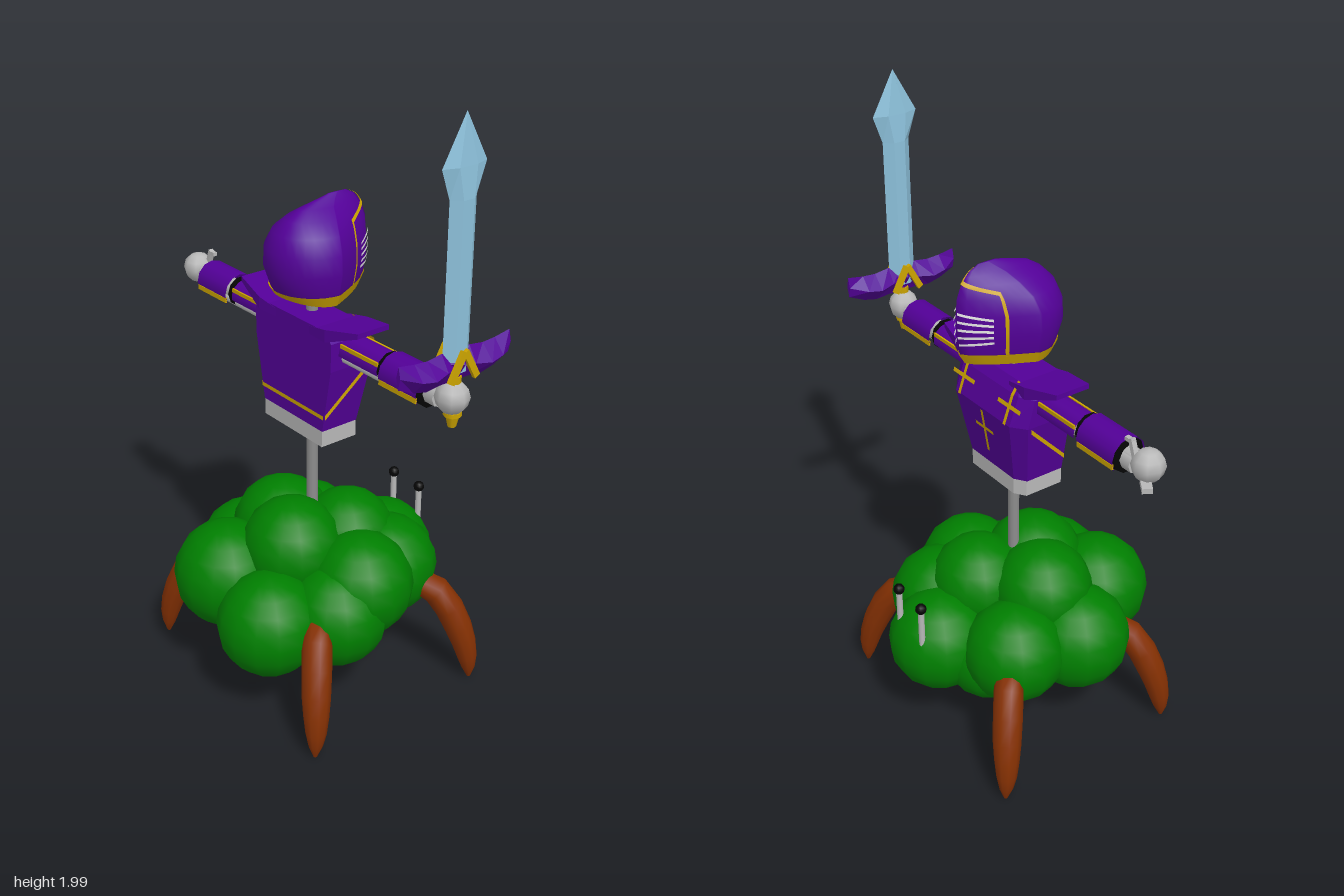
import * as THREE from 'three';

const mat = (name, color, double) => {
  const m = new THREE.MeshStandardMaterial({ color });
  m.name = name;
  if (double) m.side = THREE.DoubleSide;
  return m;
};
const V = (x, y, z) => new THREE.Vector3(x, y, z);

// Capped skin over a list of equal-length rings; faces always end up pointing outward.
function loft(rings, smooth = false) {
  const n = rings[0].length, pos = [], idx = [];
  rings.forEach(r => r.forEach(p => pos.push(p.x, p.y, p.z)));
  for (let i = 0; i < rings.length - 1; i++) for (let j = 0; j < n; j++) {
    const a = i * n + j, b = i * n + (j + 1) % n;
    idx.push(a, b, b + n, a, b + n, a + n);
  }
  const end = (rings.length - 1) * n;
  for (let j = 1; j < n - 1; j++) idx.push(0, j + 1, j, end, end + j, end + j + 1);
  const at = i => V(pos[i * 3], pos[i * 3 + 1], pos[i * 3 + 2]).sub(rings[0][0]);
  let vol = 0;
  for (let i = 0; i < idx.length; i += 3) vol += at(idx[i]).dot(at(idx[i + 1]).cross(at(idx[i + 2])));
  if (vol < 0) idx.reverse();
  let g = new THREE.BufferGeometry();
  g.setAttribute('position', new THREE.Float32BufferAttribute(pos, 3));
  g.setIndex(idx);
  if (!smooth) g = g.toNonIndexed();
  g.computeVertexNormals();
  return g;
}

// Grid surface from f(u, v), u and v in 0..1
function patch(f, nu, nv) {
  const g = new THREE.PlaneGeometry(1, 1, nu, nv), p = g.attributes.position;
  for (let i = 0; i < p.count; i++) {
    const q = f(p.getX(i) + 0.5, p.getY(i) + 0.5);
    p.setXYZ(i, q.x, q.y, q.z);
  }
  g.computeVertexNormals();
  return g;
}

// Helmet sections: y, half width, middle z, back z, pointed visor z
const HELM = [
  [1.34, .12, 0, .113, -.182], [1.36, .128, 0, .126, -.194], [1.42, .14, 0, .147, -.204], [1.48, .138, 0, .144, -.204],
  [1.53, .113, -.01, .124, -.199], [1.565, .074, -.03, .09, -.186], [1.59, .036, -.05, .05, -.169],
  [1.605, .016, -.07, .0, -.154], [1.62, .003, -.09, -.06, -.124]];
function helmPoint(y, a, off = 0) {
  let i = 0;
  while (i < HELM.length - 2 && y > HELM[i + 1][0]) i++;
  const t = (y - HELM[i][0]) / (HELM[i + 1][0] - HELM[i][0]);
  const [, w, c, b, f] = HELM[i].map((v, k) => THREE.MathUtils.lerp(v, HELM[i + 1][k], t));
  const u = Math.abs(Math.sin(a)), co = Math.cos(a);
  const z = co > 0 ? c + (f - off - c) * (1 - u ** 1.4) : c - (b + off - c) * co;
  return V((w + off) * Math.sin(a), y, z);
}

export function createModel() {
  const model = new THREE.Group();
  model.name = 'bushKnight';
  const root = new THREE.Group();
  root.name = 'figure';
  root.position.set(.006, 0, .004);
  model.add(root);
  const green = mat('leafGreen', 0x007f00), brown = mat('rootBrown', 0x843002);
  const purple = mat('armourPurple', 0x530098, true), gold = mat('trimGold', 0xcca400, true);
  const grey = mat('steelGrey', 0xb8b8b8), pole = mat('poleGrey', 0x8c8c8c);
  const black = mat('black', 0x050505), white = mat('visorWhite', 0xf4f4f4, true), blue = mat('bladeBlue', 0x8cc0da);
  const add = (parent, name, geo, material, x = 0, y = 0, z = 0) => {
    const m = new THREE.Mesh(geo, material);
    m.name = name;
    m.position.set(x, y, z);
    parent.add(m);
    return m;
  };
  const group = (name) => { const g = new THREE.Group(); g.name = name; root.add(g); return g; };
  const ball = (r, w = 14, h = 10) => new THREE.SphereGeometry(r, w, h);
  const rod = (r, len, n = 10) => new THREE.CylinderGeometry(r, r, len, n);
  const box = (x, y, z) => new THREE.BoxGeometry(x, y, z);
  const strip = (parent, name, a, b, w) => add(parent, name,
    patch((u, v) => a.clone().lerp(b, u).addScaledVector(w, v - 0.5), 1, 1), gold);

  // Bush of overlapping leaf balls: x, y, z, radius
  const bush = group('bush');
  [[.02, .34, -.28, .167], [.16, .385, -.18, .165], [-.195, .36, -.14, .165], [.22, .405, -.02, .17],
    [.225, .335, .08, .165], [-.105, .39, .26, .175], [.13, .328, .268, .168], [-.235, .345, .08, .173],
    [.025, .49, .1, .165], [-.115, .48, .03, .165], [.055, .47, -.1, .16], [0, .325, 0, .17],
    [-.1, .305, -.17, .15], [.1, .31, .1, .155], [-.1, .305, .12, .15]]
    .forEach(([x, y, z, r]) => add(bush, 'leafBall', ball(r), green, x, y, z));

  // Four curved root legs
  for (const sx of [-1, 1]) for (const sz of [-1, 1]) {
    const path = new THREE.CatmullRomCurve3([[.245, .36, .187], [.322, .33, .244], [.382, .2, .294], [.408, .09, .315], [.413, .008, .322]]
      .map(([x, y, z]) => V(sx * x, y, sz * z - .012)));
    const side = V(-sx * .7, 0, sz * .7).normalize(), rings = [];
    [.035, .044, .047, .047, .045, .04, .033, .023, .006].forEach((r, i) => {
      const t = i / 8, p = path.getPoint(t), up = path.getTangent(t).cross(side).normalize();
      rings.push(Array.from({ length: 10 }, (_, k) => p.clone()
        .addScaledVector(side, r * Math.cos(k * Math.PI / 5)).addScaledVector(up, r * Math.sin(k * Math.PI / 5))));
    });
    add(root, 'rootLeg', loft(rings, true), brown);
  }

  // Eye stalks
  for (const x of [-.053, .073]) {
    add(root, 'eyeStalk', rod(.01, .14), grey, x, .48, -.394);
    add(root, 'eye', ball(.018, 10, 8), black, x, .553, -.394);
  }
  add(root, 'pole', rod(.018, .9, 12), pole, 0, .92, 0);

  // Torso plate, chest towards -z
  const torso = group('torso');
  const outline = (w, zb) => [[w, .075], [w, zb * .7], [w * .75, zb], [-w * .75, zb], [-w, zb * .7], [-w, .075]];
  const sec = (y, w, zb) => outline(w, zb).map(([x, z]) => V(x, y, z));
  add(torso, 'breastplate', loft([sec(.941, .145, -.08), sec(1.15, .183, -.117), sec(1.24, .185, -.085), sec(1.272, .15, -.06)]), purple);
  const hem = new THREE.Shape(outline(.143, -.08).map(([x, z]) => new THREE.Vector2(x, z)));
  hem.holes.push(new THREE.Path(outline(.143, -.08).map(([x, z]) => new THREE.Vector2(x * .84, z * .78))));
  // Extrusion runs down from the waist; the outline is flipped so the chest side stays at -z
  add(torso, 'hem', new THREE.ExtrudeGeometry(hem, { depth: .053, bevelEnabled: false }).rotateX(Math.PI / 2), grey, 0, .941, 0);
  strip(torso, 'beltTrim', V(-.152, .99, .078), V(.152, .99, .078), V(0, .013, 0));
  const cross = (x, y, z, h, w, lean) => {
    const up = V(0, 1, lean).multiplyScalar(h / 2), c = V(x, y, z);
    strip(torso, 'crossUpright', c.clone().sub(up), c.clone().add(up), V(.012, 0, 0));
    strip(torso, 'crossBar', V(x - w / 2, y + .01, z + .01 * lean), V(x + w / 2, y + .01, z + .01 * lean), V(0, .012, .012 * lean));
  };
  cross(0, 1.07, -.107, .15, .09, -.17);
  for (const s of [-1, 1]) {
    cross(s * .115, 1.195, -.105, .09, .11, .355);
    // Cross upright carried up over the collar slope
    strip(torso, 'collarTrim', V(s * .115, 1.238, -.09), V(s * .115, 1.276, -.064), V(.012, 0, 0));
    strip(torso, 'sideTrim', V(s * .157, .99, .075), V(s * .185, 1.14, -.072), V(0, .016, 0));
    // Shoulder plates flaring outward
    const sh = (x, y0, y1, z) => [V(s * x, y0, -z), V(s * x, y1, -z), V(s * x, y1, z), V(s * x, y0, z)];
    add(torso, 'shoulderPlate', loft([sh(.08, 1.24, 1.265, .075), sh(.16, 1.24, 1.28, .08), sh(.283, 1.287, 1.303, .058)]), purple);
  }

  // Arms, built for +x and mirrored
  const shell = (r, len, spread) => new THREE.CylinderGeometry(r, r, len, 8, 1, true, Math.PI / 2 - spread, spread * 2).rotateZ(Math.PI / 2);
  for (const s of [1, -1]) {
    const arm = group(s > 0 ? 'leftArm' : 'rightArm');
    arm.scale.x = s;
    add(arm, 'armRod', rod(.034, .42, 8).rotateZ(Math.PI / 2), grey, .36, 1.205, 0);
    add(arm, 'lowerRod', rod(.015, .36, 8).rotateZ(Math.PI / 2), grey, .35, 1.183, .02);
    add(arm, 'upperSleeve', shell(.05, .19, 1.75), purple, .26, 1.205, -.003);
    add(arm, 'elbow', rod(.05, .014, 10).rotateZ(Math.PI / 2), black, .364, 1.212, 0);
    add(arm, 'forearmSleeve', shell(.059, .158, 2.1), purple, .453, 1.208, 0);
    add(arm, 'cuff', rod(.054, .012, 10).rotateZ(Math.PI / 2), black, .526, 1.21, 0);
    for (const z of [-1, 1]) {
      add(arm, 'upperTrim', box(.165, .012, .006), gold, .272, 1.23, z * .046 - .003);
      add(arm, 'forearmTrim', box(.155, .016, .006), gold, .453, 1.19, z * .055);
    }
    add(arm, 'wrist', rod(.028, .06, 8).rotateZ(Math.PI / 2), grey, .557, 1.215, 0);
    add(arm, 'hand', ball(.05, 8, 6), grey, .613, 1.22, 0);
    if (s < 0) {
      // Small finger hooks on the empty hand
      const thumb = add(arm, 'thumb', box(.014, .07, .016), grey, .575, 1.255, -.02);
      thumb.rotation.z = .35;
      add(arm, 'thumbTip', box(.03, .012, .014), grey, .557, 1.28, -.02);
      const finger = add(arm, 'finger', box(.05, .016, .03), grey, .642, 1.178, -.03);
      finger.rotation.y = .6;
    }
  }

  // Sword held upright in the left hand
  const sword = group('sword');
  sword.position.x = .617;
  const bladeSec = (y, z, x) => [V(0, y, z), V(x, y, z * .4), V(x, y, -z * .4), V(0, y, -z), V(-x, y, -z * .4), V(-x, y, z * .4)];
  add(sword, 'blade', loft([bladeSec(1.3, .047, .023), bladeSec(1.78, .047, .023), bladeSec(1.865, .077, .016), bladeSec(2, .001, .001)]), blue);
  add(sword, 'grip', rod(.015, .16, 8), purple, 0, 1.24, 0);
  add(sword, 'pommel', new THREE.CylinderGeometry(.02, .012, .035, 8), gold, 0, 1.15, 0);
  add(sword, 'pommelRing', rod(.026, .012, 8), gold, 0, 1.172, 0);
  add(sword, 'guardCore', new THREE.OctahedronGeometry(.06).scale(.68, 1.1, .85), purple, 0, 1.33, 0);
  const wingSec = (z, y0, y1, x) => [V(0, y0, z), V(x, (y0 + y1) / 2, z), V(0, y1, z), V(-x, (y0 + y1) / 2, z)];
  for (const s of [-1, 1]) {
    add(sword, 'guardWing', loft([wingSec(0, 1.27, 1.36, .02), wingSec(s * .05, 1.27, 1.362, .03), wingSec(s * .1, 1.265, 1.355, .042),
      wingSec(s * .145, 1.275, 1.358, .036), wingSec(s * .2, 1.3, 1.367, .008)]), purple);
    // Gold chevron on both faces of the guard
    for (const x of [-.035, .035]) {
      const bar = add(sword, 'guardChevron', box(.012, .095, .02), gold, x, 1.326, s * .024);
      bar.rotation.x = -s * .5;
    }
  }
  add(sword, 'gripCollar', rod(.02, .02, 8), gold, 0, 1.275, 0);

  // Helmet with a pointed visor towards -z
  const helmet = group('helmet');
  add(helmet, 'helmetShell', loft(HELM.map(h => Array.from({ length: 32 }, (_, k) => helmPoint(h[0], k * Math.PI / 16))), true), purple);
  // Neck band, arched upward at the nape
  add(helmet, 'neckBand', patch((u, v) => {
    const a = u * Math.PI * 2, h = .037 - .018 * Math.max(0, -Math.cos(a)) ** 2;
    return helmPoint(1.358 - h * (1 - v), a, .005);
  }, 32, 3), gold);
  const onHelm = (name, m, a0, a1, y0, y1, h, nu = 10, nv = 6) => add(helmet, name,
    patch((u, v) => helmPoint(y0 + (y1 - y0) * u + h * (v - .5), a0 + (a1 - a0) * u, .005), nu, nv), m);
  for (const s of [-1, 1]) {
    onHelm('visorEdge', gold, s * .7, s * .75, 1.45, 1.45, .2, 2, 12);
    onHelm('browTrim', gold, s * .73, 0, 1.545, 1.58, .011);
    for (let i = 0; i < 5; i++) onHelm('visorSlit', white, s * .06, s * .55, 1.39 + i * .025, 1.4 + i * .018, .008);
  }
  onHelm('crestTrim', gold, -.06, .06, 1.597, 1.597, .036, 2, 8);
  return model;
}
